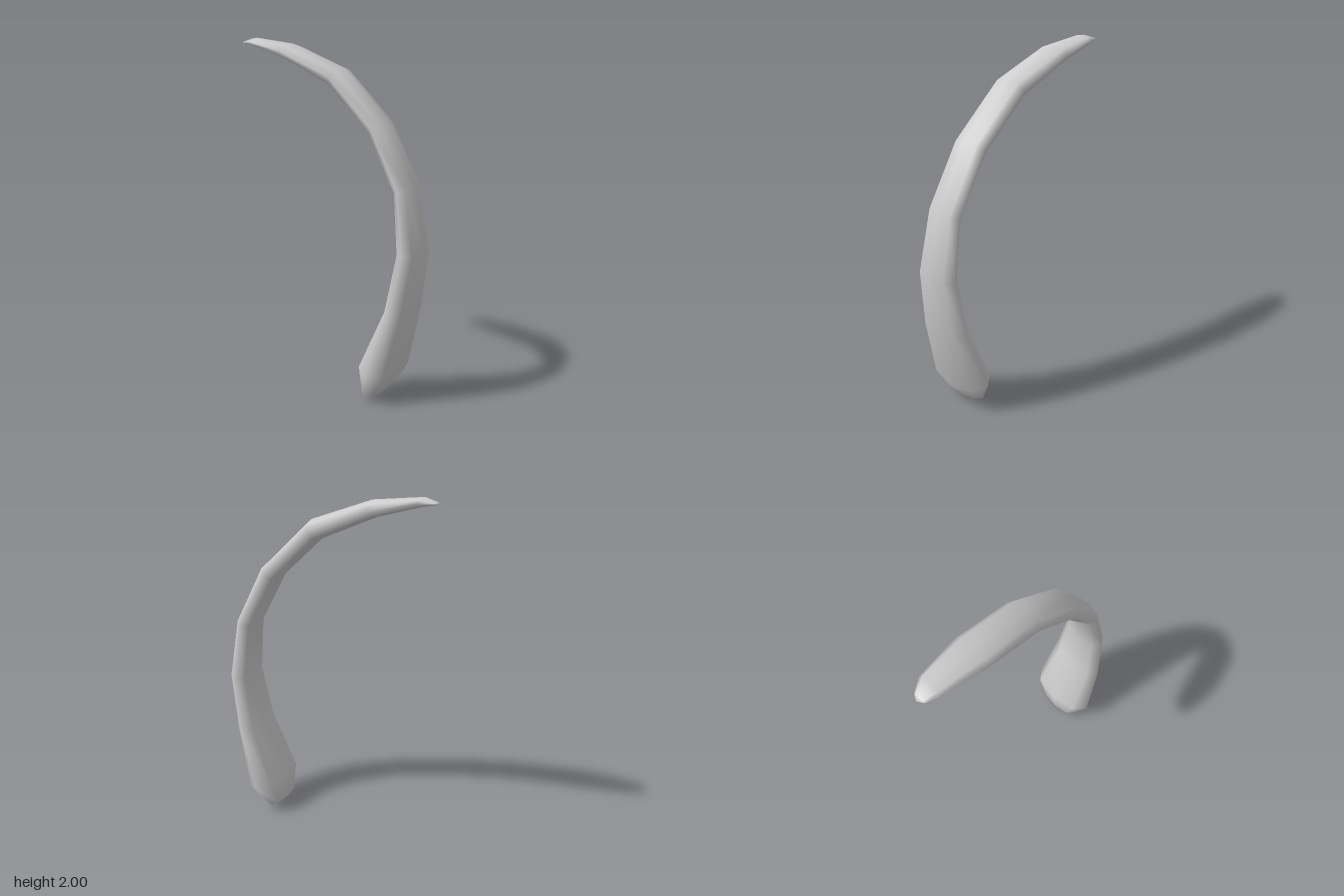
import * as THREE from 'three';

// Cross-sections from base to tip: centre x, y, z, half width, half thickness
const SECTIONS = [
  [0.315, 0.035, 0.085, 0.13, 0.05],
  [0.365, 0.18, 0.085, 0.21, 0.11],
  [0.475, 0.53, 0.115, 0.17, 0.07],
  [0.525, 0.86, 0.12, 0.135, 0.067],
  [0.48, 1.2, 0.095, 0.115, 0.053],
  [0.315, 1.52, 0.035, 0.11, 0.058],
  [0.05, 1.785, -0.05, 0.107, 0.058],
  [-0.27, 1.923, -0.142, 0.105, 0.045],
  [-0.51, 1.976, -0.215, 0.07, 0.024],
  [-0.58, 1.973, -0.23, 0.035, 0.006],
];
const BASE_POLE = [0.325, 0.0, 0.075];
const TIP_POLE = [-0.6, 1.972, -0.235];
const SIDES = 8;

// Flattened oval sections lofted along the curve, closed by a fan at each end
function loft() {
  const across = new THREE.Vector3(0.28, 0, -0.96).normalize();
  const centres = SECTIONS.map(([x, y, z]) => new THREE.Vector3(x, y, z));
  const last = SECTIONS.length - 1;
  const positions = [];
  const index = [];

  SECTIONS.forEach(([, , , width, thickness], i) => {
    const tangent = centres[Math.min(i + 1, last)].clone().sub(centres[Math.max(i - 1, 0)]);
    const outward = across.clone().cross(tangent).normalize();
    for (let j = 0; j < SIDES; j++) {
      const a = (j / SIDES) * Math.PI * 2;
      const p = centres[i].clone()
        .addScaledVector(outward, Math.cos(a) * thickness)
        .addScaledVector(across, Math.sin(a) * width);
      positions.push(p.x, Math.max(p.y, 0.005), p.z);
    }
  });

  const basePole = SECTIONS.length * SIDES;
  const tipPole = basePole + 1;
  positions.push(...BASE_POLE, ...TIP_POLE);

  for (let j = 0; j < SIDES; j++) {
    const k = (j + 1) % SIDES;
    for (let i = 0; i < last; i++) {
      const a = i * SIDES + j;
      const b = i * SIDES + k;
      index.push(a, b, a + SIDES, b, b + SIDES, a + SIDES);
    }
    index.push(basePole, k, j);
    index.push(tipPole, last * SIDES + j, last * SIDES + k);
  }

  const geometry = new THREE.BufferGeometry();
  geometry.setAttribute('position', new THREE.Float32BufferAttribute(positions, 3));
  geometry.setIndex(index);
  geometry.computeVertexNormals();
  return geometry;
}

export function createModel() {
  const group = new THREE.Group();
  group.name = 'curvedRib';

  const grey = new THREE.MeshStandardMaterial({ color: 0xcccccc });
  grey.name = 'lightGrey';

  const rib = new THREE.Mesh(loft(), grey);
  rib.name = 'rib';
  group.add(rib);
  return group;
}
